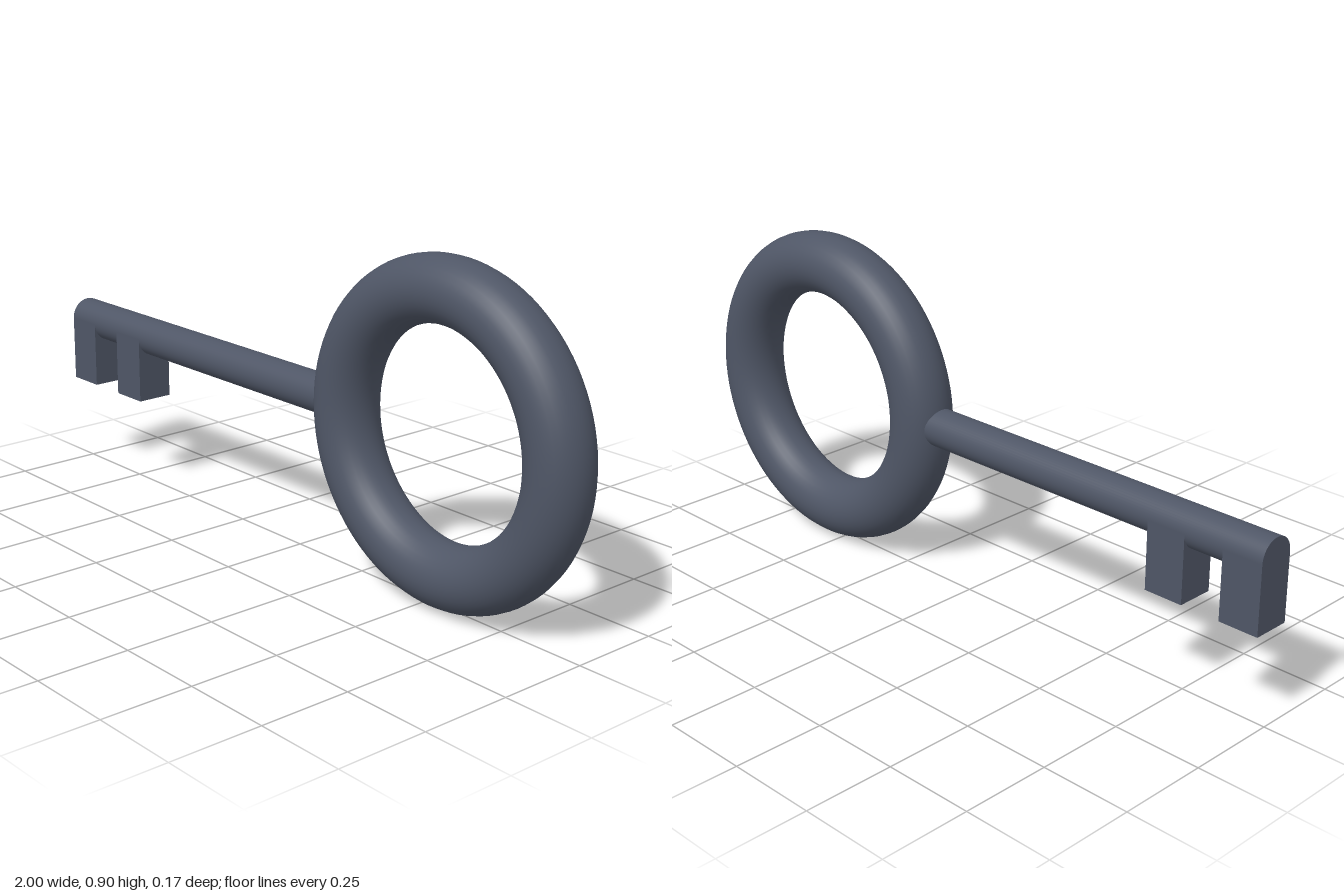
import * as THREE from 'three';

export function createModel() {
  const key = new THREE.Group();
  key.name = 'key';
  const metal = new THREE.MeshStandardMaterial({ color: 0x4f5666 });
  const axisY = 0.45, tube = 0.086, shaftRadius = 0.053;

  const add = (name, geometry, x, y) => {
    const mesh = new THREE.Mesh(geometry, metal);
    mesh.name = name;
    mesh.position.set(x, y, 0);
    key.add(mesh);
  };

  // Round bow that the hand holds
  add('bow', new THREE.TorusGeometry(0.45 - tube, tube, 32, 96), 0.55, axisY);

  // Shaft, running from the tip into the bow's tube
  const start = -1, end = 0.17;
  const shaft = new THREE.CylinderGeometry(shaftRadius, shaftRadius, end - start, 48);
  shaft.rotateZ(Math.PI / 2);
  add('shaft', shaft, (start + end) / 2, axisY);

  // Two square teeth, as deep as the shaft and sunk to its axis
  const toothWidth = 0.113, toothBottom = 0.262;
  const toothHeight = axisY - toothBottom;
  for (let i = 0; i < 2; i++) {
    add(`tooth${i + 1}`, new THREE.BoxGeometry(toothWidth, toothHeight, shaftRadius * 2),
      start + toothWidth * (0.5 + 2 * i), toothBottom + toothHeight / 2);
  }
  return key;
}
